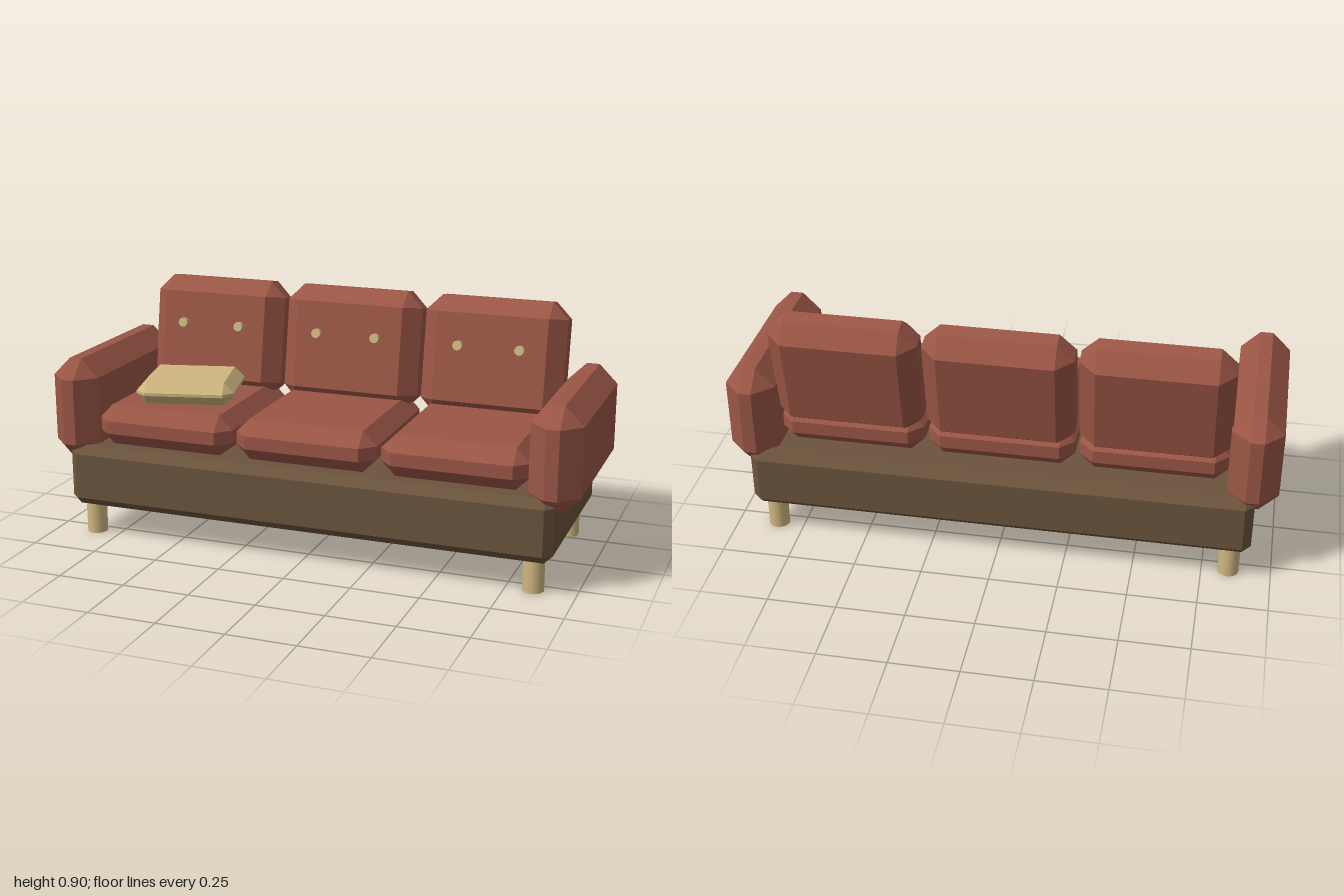
import * as THREE from 'three';
import { ConvexGeometry } from 'three/addons/geometries/ConvexGeometry.js';

const leather = new THREE.MeshStandardMaterial({ color: 0x9b5646 });
leather.name = 'red leather';
const frameWood = new THREE.MeshStandardMaterial({ color: 0x6b543d });
frameWood.name = 'dark wood';
const tan = new THREE.MeshStandardMaterial({ color: 0xd0b780 });
tan.name = 'tan';

// Box with every edge cut at 45 degrees and a triangle at each corner
function chamferBox(w, h, d, c) {
  const points = [];
  for (const x of [-1, 1]) for (const y of [-1, 1]) for (const z of [-1, 1]) {
    for (const keep of [0, 1, 2]) {
      const half = [w, h, d].map((s, i) => s / 2 - (i === keep ? 0 : c));
      points.push(new THREE.Vector3(x * half[0], y * half[1], z * half[2]));
    }
  }
  return new ConvexGeometry(points);
}

function add(parent, name, geometry, material, x, y, z) {
  const mesh = new THREE.Mesh(geometry, material);
  mesh.name = name;
  mesh.position.set(x, y, z);
  parent.add(mesh);
  return mesh;
}

export function createModel() {
  const sofa = new THREE.Group();
  sofa.name = 'sofa';

  // Frame
  add(sofa, 'base', chamferBox(1.84, 0.232, 0.73, 0.031), frameWood, 0, 0.234, 0);

  // Legs and arms, mirrored
  const legGeo = new THREE.CylinderGeometry(0.038, 0.038, 0.12, 20);
  const armGeo = chamferBox(0.183, 0.385, 0.73, 0.068);
  for (const [side, s] of [['left', 1], ['right', -1]]) {
    add(sofa, side + 'Arm', armGeo, leather, s * 0.9085, 0.4775, 0);
    add(sofa, side + 'FrontLeg', legGeo, tan, s * 0.847, 0.06, 0.293);
    add(sofa, side + 'BackLeg', legGeo, tan, s * 0.847, 0.06, -0.293);
  }

  // Three seats, each with a reclined back cushion and two buttons
  const tilt = -THREE.MathUtils.degToRad(10);
  const seatGeo = chamferBox(0.537, 0.152, 0.61, 0.052);
  const backGeo = chamferBox(0.537, 0.45, 0.183, 0.06);
  const buttonGeo = new THREE.CylinderGeometry(0.018, 0.018, 0.021, 12).rotateX(Math.PI / 2);
  for (const x of [-0.553, 0, 0.553]) {
    add(sofa, 'seatCushion', seatGeo, leather, x, 0.426, 0.025);
    add(sofa, 'backCushion', backGeo, leather, x, 0.669, -0.246).rotation.x = tilt;
    for (const dx of [-0.116, 0.116]) {
      add(sofa, 'button', buttonGeo, tan, x + dx, 0.734, -0.137).rotation.x = tilt;
    }
  }

  // Loose pillow
  add(sofa, 'pillow', chamferBox(0.366, 0.085, 0.32, 0.037), tan, -0.543, 0.547, 0.073)
    .rotation.y = 0.25;

  return sofa;
}
